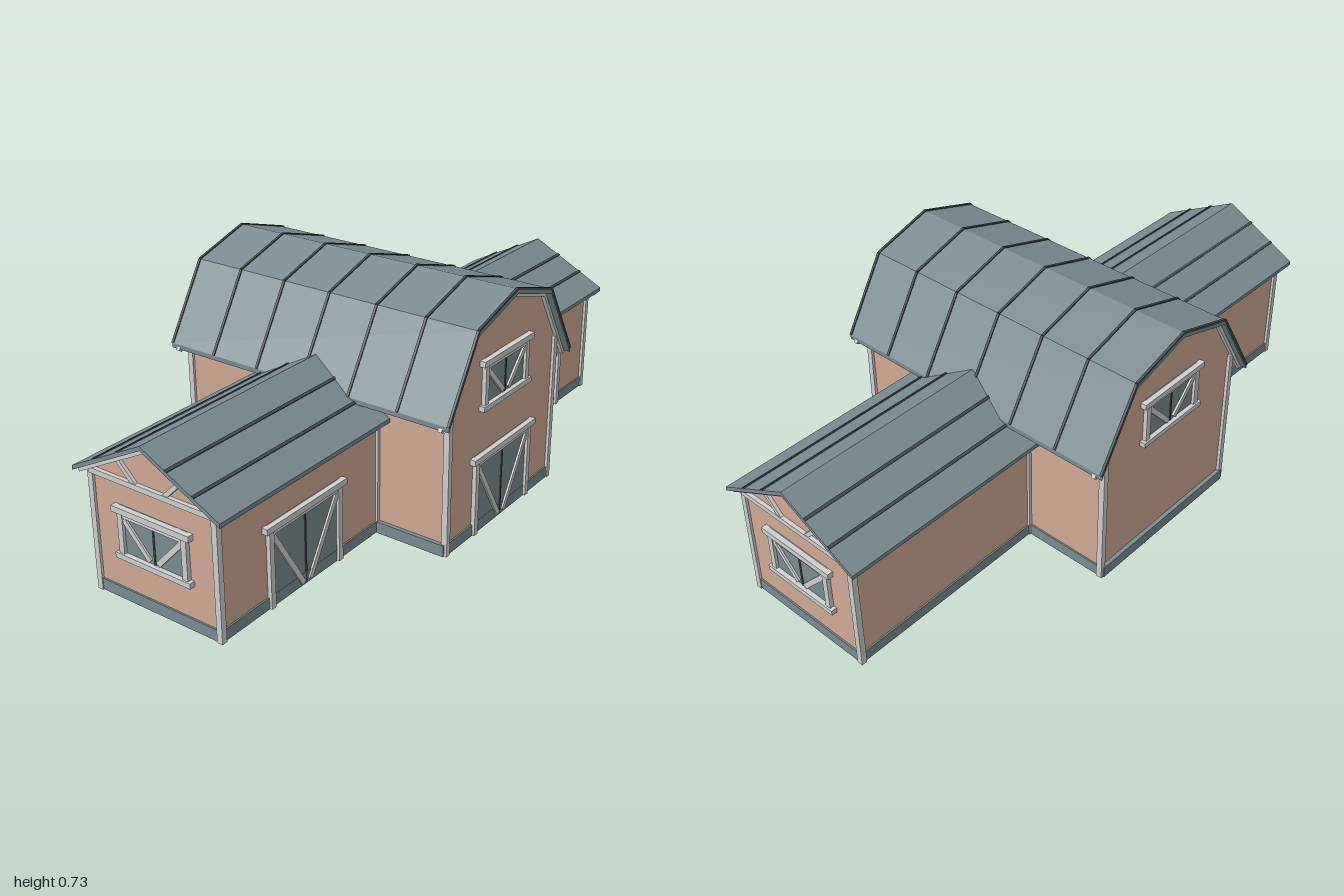
import * as THREE from 'three';

const mat = (name, color) => {
  const m = new THREE.MeshStandardMaterial({ color });
  m.name = name;
  return m;
};
const WALL = mat('salmon boards', 0xcfa995);
const SLATE = mat('slate', 0x7b8c92);
const TRIM = mat('pale trim', 0xcfcfcf);
const SEAM = mat('dark seam', 0x434d51);

function add(parent, name, geo, material, x = 0, y = 0, z = 0) {
  const m = new THREE.Mesh(geo, material);
  m.name = name;
  m.position.set(x, y, z);
  parent.add(m);
  return m;
}

// Box given by its ranges on each axis
function box(parent, name, material, x0, x1, y0, y1, z0, z1) {
  return add(parent, name, new THREE.BoxGeometry(x1 - x0, y1 - y0, z1 - z0), material,
    (x0 + x1) / 2, (y0 + y1) / 2, (z0 + z1) / 2);
}

// Straight board between two points of the XY plane
function bar(parent, name, material, [ax, ay], [bx, by], thick, depth, z) {
  const m = add(parent, name, new THREE.BoxGeometry(Math.hypot(bx - ax, by - ay), thick, depth),
    material, (ax + bx) / 2, (ay + by) / 2, z);
  m.rotation.z = Math.atan2(by - ay, bx - ax);
  return m;
}

// Mirrors a half profile that ends on the centre line
const mirrored = (half) => [...half, ...half.slice(0, -1).reverse().map(([x, y]) => [-x, y])];
const shifted = (pts, dy) => pts.map(([x, y]) => [x, y + dy]);

function extrude(points, z0, z1) {
  const shape = new THREE.Shape(points.map(([x, y]) => new THREE.Vector2(x, y)));
  return new THREE.ExtrudeGeometry(shape, { depth: z1 - z0, bevelEnabled: false }).translate(0, 0, z0);
}

function roofSheet(parent, half, thick, z0, z1) {
  const top = mirrored(half);
  add(parent, 'roof', extrude([...top, ...shifted(top, -thick).reverse()], z0, z1), SLATE);
}

// Two leaves with diagonal braces, facing +z, standing on y = 0
function bracedPanel(name, halfWidth, height, sill) {
  const g = new THREE.Group();
  g.name = name;
  const w = halfWidth, h = height, s = sill ? 0.016 : 0;
  box(g, 'leaves', SLATE, -w, w, s, h, -0.02, 0.004);
  box(g, 'centreGap', SEAM, -0.003, 0.003, s, h - 0.02, 0.004, 0.006);
  box(g, 'header', TRIM, -w - 0.016, w + 0.016, h - 0.018, h, 0, 0.018);
  box(g, 'topRail', TRIM, -w, w, h - 0.032, h - 0.018, 0, 0.011);
  if (sill) box(g, 'sill', TRIM, -w - 0.012, w + 0.012, 0, s, 0, 0.018);
  for (const k of [-1, 1]) {
    box(g, 'jamb', TRIM, k * (w - 0.008) - 0.009, k * (w - 0.008) + 0.009, 0, h - 0.018, 0, 0.013);
    bar(g, 'brace', TRIM, [k * (w - 0.018), h - 0.036], [k * 0.014, s + 0.008], 0.016, 0.01, 0.005);
  }
  return g;
}

function place(parent, g, x, y, z) {
  g.position.set(x, y, z);
  parent.add(g);
}

function mainBarn() {
  const g = new THREE.Group();
  g.name = 'mainBarn';
  const W = 0.29, L = 0.47;
  const profile = [[0.34, 0.43], [0.2, 0.662], [0, 0.722]];
  const gable = [[W, 0], [W, 0.495], [0.2, 0.647], [0, 0.707]];

  // Walls, open underneath
  add(g, 'frontWall', extrude(mirrored(gable), L - 0.01, L), WALL);
  add(g, 'backWall', extrude(mirrored(gable), -L, -L + 0.01), WALL);
  for (const k of [-1, 1]) {
    box(g, 'sideWall', WALL, k * (W - 0.005) - 0.005, k * (W - 0.005) + 0.005, 0, 0.495, -L + 0.01, L - 0.01);
    box(g, 'sideSkirt', SLATE, k * W - 0.013, k * W + 0.005, 0, 0.036, -L, L);
    box(g, 'endSkirt', SLATE, -W, W, 0, 0.036, k * L - 0.013, k * L + 0.005);
    for (const j of [-1, 1])
      box(g, 'cornerPost', TRIM, k * W - 0.008, k * W + 0.009, 0, 0.48, j * L - 0.01, j * L + 0.009);
  }

  // Gambrel roof with raised seams and rake trim
  roofSheet(g, profile, 0.015, -0.503, 0.503);
  const top = mirrored(profile);
  for (let i = 0; i < top.length - 1; i++) {
    for (let n = -3; n <= 3; n++)
      bar(g, 'roofSeam', SEAM, top[i], top[i + 1], 0.007, 0.008, n * 0.1667);
    const low = shifted(top, -0.021);
    for (const k of [-1, 1])
      bar(g, 'rakeTrim', TRIM, low[i], low[i + 1], 0.013, 0.012, k * (L + 0.006));
  }

  // Door and loft windows
  place(g, bracedPanel('barnDoor', 0.155, 0.252, false), 0, 0.002, L);
  place(g, bracedPanel('frontLoftWindow', 0.12, 0.155, true), 0, 0.39, L);
  const back = bracedPanel('backLoftWindow', 0.12, 0.155, true);
  back.rotation.y = Math.PI;
  place(g, back, 0, 0.39, -L);
  return g;
}

// Side wing, built with its gable end facing +z
function wing(name) {
  const g = new THREE.Group();
  g.name = name;
  const W = 0.215, L = 0.97, START = 0.291;
  const profile = [[0.256, 0.375], [0, 0.507]];
  const slope = (0.507 - 0.375) / 0.256;
  const at = (x) => 0.507 - Math.abs(x) * slope;
  add(g, 'walls', extrude(mirrored([[W, 0], [W, at(W) - 0.01], [0, 0.497]]), START, L), WALL);
  box(g, 'endSkirt', SLATE, -W, W, 0.001, 0.036, L - 0.01, L + 0.005);
  roofSheet(g, profile, 0.013, START - 0.006, 1);

  for (const k of [-1, 1]) {
    box(g, 'sideSkirt', SLATE, k * W - 0.005, k * W + 0.005, 0.001, 0.036, START, L);
    box(g, 'cornerPost', TRIM, k * W - 0.009, k * W + 0.009, 0, 0.385, L - 0.01, L + 0.008);
    box(g, 'innerPost', TRIM, k * W - 0.006, k * W + 0.008, 0, 0.385, START, START + 0.01);
    // Seams along the slope
    for (const x of [0.085, 0.171])
      bar(g, 'roofSeam', SEAM, [k * (x - 0.004), at(x - 0.004)], [k * (x + 0.004), at(x + 0.004)],
        0.007, 1 - START, (1 + START) / 2);
    // Gable truss
    bar(g, 'rakeTrim', TRIM, [0, 0.488], [k * 0.25, 0.488 - 0.25 * slope], 0.014, 0.014, L + 0.008);
    bar(g, 'strut', TRIM, [k * 0.112, 0.432], [k * 0.05, 0.37], 0.013, 0.01, L + 0.005);
  }
  box(g, 'tieBeam', TRIM, -W, W, 0.36, 0.376, L, L + 0.012);
  place(g, bracedPanel('endWindow', 0.12, 0.155, true), 0, 0.136, L);
  return g;
}

export function createModel() {
  const root = new THREE.Group();
  root.name = 'barn';
  root.add(mainBarn());
  for (const k of [-1, 1]) {
    const w = wing(k > 0 ? 'leftWing' : 'rightWing');
    w.rotation.y = k * Math.PI / 2;
    place(root, w, 0, 0, 0.02);
    place(root, bracedPanel('wingDoor', 0.155, 0.252, false), k * 0.63, 0.002, 0.235);
  }
  return root;
}
